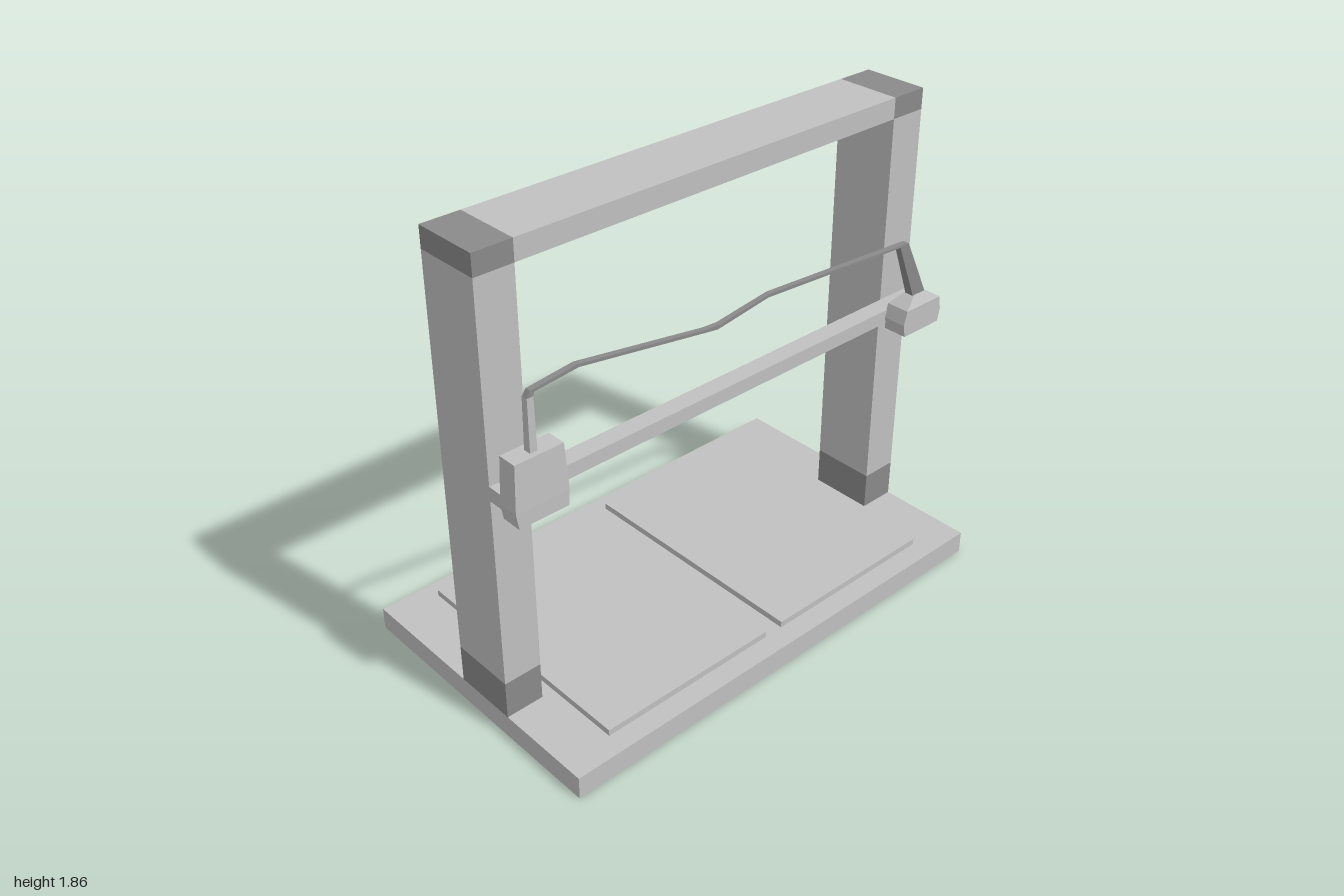
import * as THREE from 'three';

const light = new THREE.MeshStandardMaterial({ color: 0xc0c0c0 });
light.name = 'light grey';
const dark = new THREE.MeshStandardMaterial({ color: 0x8a8a8a });
dark.name = 'dark grey';

// Box given by its limits on each axis
function block(name, mat, [x0, x1], [y0, y1], [z0, z1]) {
  const mesh = new THREE.Mesh(new THREE.BoxGeometry(x1 - x0, y1 - y0, z1 - z0), mat);
  mesh.position.set((x0 + x1) / 2, (y0 + y1) / 2, (z0 + z1) / 2);
  mesh.name = name;
  return mesh;
}

// Flat-sided skin over four-cornered sections, clockwise seen against the path direction
function loft(name, mat, sections) {
  const pos = [];
  const quad = (a, b, c, d) => pos.push(...a, ...b, ...c, ...a, ...c, ...d);
  for (let s = 0; s < sections.length - 1; s++) {
    for (let i = 0; i < 4; i++) {
      const j = (i + 1) % 4;
      quad(sections[s][i], sections[s + 1][i], sections[s + 1][j], sections[s][j]);
    }
  }
  const first = sections[0], last = sections[sections.length - 1];
  quad(first[0], first[1], first[2], first[3]);
  quad(last[3], last[2], last[1], last[0]);
  const geo = new THREE.BufferGeometry();
  geo.setAttribute('position', new THREE.Float32BufferAttribute(pos, 3));
  geo.computeVertexNormals();
  const mesh = new THREE.Mesh(geo, mat);
  mesh.name = name;
  return mesh;
}

// Horizontal rectangle for upright lofts
const slice = (y, x0, x1, z0, z1) => [[x0, y, z0], [x1, y, z0], [x1, y, z1], [x0, y, z1]];

// Cross-section of the arm: upper point, lower point, depth centre and half depth
const rib = (xt, yt, xb, yb, z, h) => [[xt, yt, z + h], [xt, yt, z - h], [xb, yb, z - h], [xb, yb, z + h]];

export function createModel() {
  const model = new THREE.Group();
  model.name = 'frame';

  // Base with two raised plates
  model.add(block('base', light, [-0.99, 0.99], [0, 0.09], [-0.583, 0.583]));
  model.add(block('leftPlate', light, [0.04, 0.79], [0.09, 0.115], [-0.51, 0.5]));
  model.add(block('rightPlate', light, [-0.79, -0.04], [0.09, 0.115], [-0.51, 0.5]));

  // Posts with dark feet and corner caps
  const depth = [-0.063, 0.197];
  for (const [side, x] of [['left', [0.84, 0.99]], ['right', [-0.99, -0.84]]]) {
    model.add(block(side + 'Foot', dark, x, [0.09, 0.24], depth));
    model.add(block(side + 'Post', light, x, [0.24, 1.78], depth));
    model.add(block(side + 'Cap', dark, x, [1.78, 1.86], depth));
  }

  // Top beam and front rail
  model.add(block('topBeam', light, [-0.84, 0.84], [1.78, 1.86], depth));
  model.add(block('rail', light, [-0.99, 0.99], [1.0, 1.055], [0.197, 0.268]));

  // Slightly bulging carriage blocks on the rail ends
  model.add(loft('rightCarriage', light, [
    slice(0.97, -0.99, -0.795, 0.265, 0.345),
    slice(1.03, -1.0, -0.79, 0.265, 0.345),
    slice(1.205, -0.99, -0.8, 0.265, 0.34),
  ]));
  model.add(loft('leftCarriage', light, [
    slice(0.975, 0.8, 0.99, 0.265, 0.36),
    slice(1.025, 0.79, 1.0, 0.265, 0.36),
    slice(1.08, 0.805, 0.99, 0.265, 0.36),
    slice(1.12, 0.86, 0.925, 0.295, 0.34),
  ]));

  // Thin bent arm joining the carriages
  model.add(loft('armUpright', light, [
    slice(1.2, -0.915, -0.887, 0.29, 0.32),
    slice(1.4, -0.915, -0.89, 0.295, 0.32),
  ]));
  model.add(loft('arm', dark, [
    rib(-0.915, 1.4, -0.89, 1.4, 0.308, 0.012),
    rib(-0.9, 1.422, -0.885, 1.413, 0.308, 0.011),
    rib(-0.72, 1.443, -0.715, 1.431, 0.31, 0.011),
    rib(-0.19, 1.366, -0.2, 1.356, 0.317, 0.01),
    rib(-0.13, 1.363, -0.14, 1.348, 0.318, 0.01),
    rib(0.1, 1.396, 0.09, 1.384, 0.32, 0.01),
    rib(0.805, 1.355, 0.76, 1.35, 0.325, 0.013),
    rib(0.925, 1.12, 0.86, 1.115, 0.318, 0.018),
  ]));

  return model;
}
